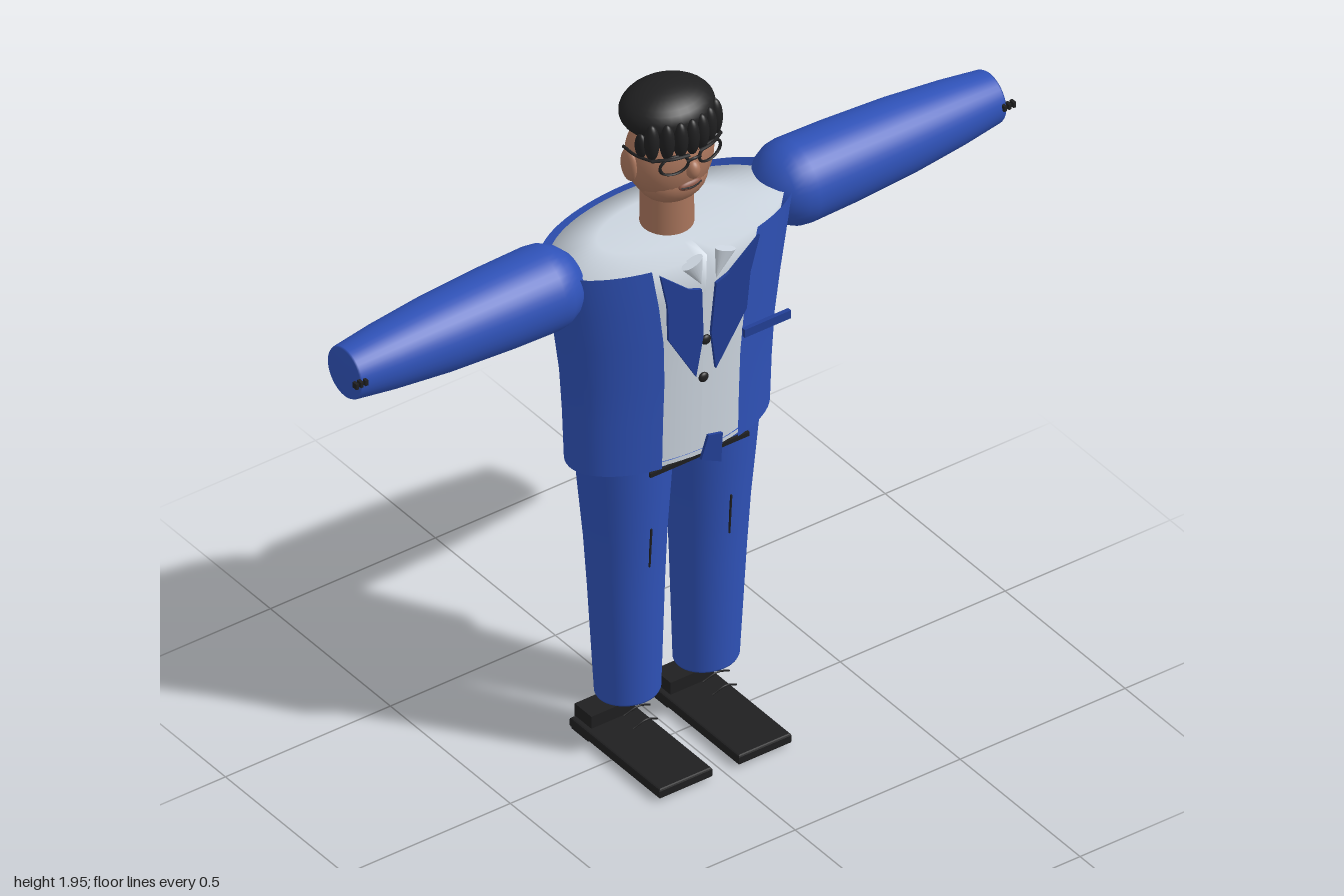
import * as THREE from 'three';

const mat = (name, color, side = THREE.FrontSide) => {
  const m = new THREE.MeshStandardMaterial({ color, side });
  m.name = name;
  return m;
};

export function createModel() {
  const root = new THREE.Group();
  root.name = 'manInSuit';
  const blue = mat('suitBlue', 0x2f52b8, THREE.DoubleSide);
  const darkBlue = mat('lapelBlue', 0x223f96, THREE.DoubleSide);
  const white = mat('shirtWhite', 0xcdd6e0, THREE.DoubleSide);
  const skin = mat('skin', 0xa9755c);
  const lip = mat('lip', 0x8a5646);
  const black = mat('black', 0x1f1f20);
  const Z = -0.035; // body axis

  const add = (name, geo, material, x = 0, y = 0, z = 0, parent = root) => {
    const m = new THREE.Mesh(geo, material);
    m.name = name;
    m.position.set(x, y, z);
    parent.add(m);
    return m;
  };
  const box = (w, h, d) => new THREE.BoxGeometry(w, h, d);
  const ball = (rx, ry, rz) => new THREE.SphereGeometry(1, 28, 18).scale(rx, ry, rz);
  const lathe = (pts) => new THREE.LatheGeometry(pts.map((p) => new THREE.Vector2(...p)), 40);
  const tube = (pts, r, n = 12) => new THREE.TubeGeometry(
    new THREE.CatmullRomCurve3(pts.map((p) => new THREE.Vector3(...p))), n, r, 6);
  const plate = (pts, depth = 0.008) => new THREE.ExtrudeGeometry(
    new THREE.Shape(pts.map((p) => new THREE.Vector2(...p))), { depth, bevelEnabled: false });

  // Elliptical shell from rows [y, rx, rz, half width of the front opening]
  const shell = (rows, n = 64) => {
    const pos = [], idx = [];
    rows.forEach(([y, rx, rz, open = 0], i) => {
      const t0 = Math.asin(open / rx);
      for (let j = 0; j <= n; j++) {
        const t = t0 + (2 * Math.PI - 2 * t0) * j / n;
        pos.push(rx * Math.sin(t), y, rz * Math.cos(t));
        if (i && j) {
          const d = i * (n + 1) + j, c = d - 1, b = d - n - 1, a = b - 1;
          idx.push(a, b, c, b, d, c);
        }
      }
    });
    const g = new THREE.BufferGeometry();
    g.setAttribute('position', new THREE.Float32BufferAttribute(pos, 3));
    g.setIndex(idx);
    g.computeVertexNormals();
    return g;
  };

  // Torso
  add('jacket', shell([
    [0.91, 0.293, 0.15, 0.115], [1.05, 0.298, 0.154, 0.115], [1.18, 0.306, 0.16, 0.115],
    [1.3, 0.322, 0.167, 0.122], [1.42, 0.342, 0.172, 0.138], [1.54, 0.365, 0.176, 0.16],
  ]), blue, 0, 0, Z);
  add('shirt', shell([
    [0.91, 0.262, 0.14], [1.18, 0.276, 0.15], [1.3, 0.29, 0.157], [1.42, 0.31, 0.163],
    [1.53, 0.335, 0.167], [1.538, 0.2, 0.1], [1.54, 0.01, 0.005],
  ]), white, 0, 0, Z);
  const waist = new THREE.CircleGeometry(1, 40).rotateX(Math.PI / 2).scale(0.28, 1, 0.142);
  add('waist', waist, blue, 0, 0.925, Z);
  add('belt', box(0.3, 0.012, 0.008), black, 0, 0.905, 0.1);
  add('shirtPlacket', box(0.004, 0.5, 0.004), black, 0, 1.17, 0.112).rotation.x = 0.035;
  add('backSeam', box(0.004, 0.34, 0.006), black, 0, 1.17, -0.194).rotation.x = -0.04;
  add('chestPocket', box(0.14, 0.024, 0.012), darkBlue, 0.19, 1.233, 0.119);
  for (const y of [1.27, 1.15]) add('shirtButton', ball(0.014, 0.014, 0.008), black, 0, y, y > 1.2 ? 0.128 : 0.118);
  add('frontTab', plate([[0.012, 0.97], [0.055, 0.96], [0.05, 0.875], [-0.01, 0.905]]), darkBlue, 0, 0, 0.115);

  // Neck and head
  add('neck', new THREE.CylinderGeometry(0.066, 0.068, 0.14, 32), skin, 0, 1.6, Z);
  const head = new THREE.Group();
  head.name = 'head';
  root.add(head);
  add('face', ball(0.118, 0.132, 0.097), skin, 0, 1.758, -0.025, head);
  add('jaw', ball(0.095, 0.07, 0.08), skin, 0, 1.695, -0.015, head);
  add('nose', ball(0.018, 0.026, 0.02), skin, 0, 1.755, 0.073, head);
  add('lips', ball(0.034, 0.014, 0.012), lip, 0, 1.703, 0.061, head);
  add('mouthLine', tube([[-0.03, 1.704, 0.067], [0, 1.702, 0.074], [0.03, 1.704, 0.067]], 0.0025), black, 0, 0, 0, head);
  add('hairCap', ball(0.126, 0.066, 0.107), black, 0, 1.885, -0.035, head);
  for (let i = -3; i <= 3; i++) {
    add('fringeLock', ball(0.019, 0.052, 0.02), black, i * 0.032, 1.852, 0.07 - 0.004 * i * i, head);
  }
  add('glassesBridge', tube([[-0.02, 1.79, 0.078], [0, 1.796, 0.084], [0.02, 1.79, 0.078]], 0.004), black, 0, 0, 0, head);

  for (const s of [1, -1]) {
    // Head sides
    add('ear', ball(0.014, 0.046, 0.03), skin, s * 0.117, 1.757, -0.032, head);
    add('sideLock', ball(0.014, 0.035, 0.018), black, s * 0.11, 1.835, 0.008, head);
    const rim = new THREE.TorusGeometry(0.035, 0.004, 6, 24).scale(1.1, 0.75, 1);
    add('glassesRim', rim, black, s * 0.054, 1.787, 0.07, head).rotation.y = s * 0.2;
    add('browBar', tube([[s * 0.015, 1.808, 0.08], [s * 0.06, 1.81, 0.073], [s * 0.105, 1.806, 0.045]], 0.005), black, 0, 0, 0, head);
    add('glassesTemple', tube([[s * 0.1, 1.805, 0.05], [s * 0.12, 1.805, 0], [s * 0.122, 1.805, -0.05]], 0.004), black, 0, 0, 0, head);

    // Collar and lapels
    const collar = add('collarPoint', new THREE.ConeGeometry(0.032, 0.085, 20).scale(1, 1, 0.5), white, s * 0.036, 1.493, 0.14);
    collar.rotation.z = Math.PI + s * -0.35;
    const lapel = plate([[s * 0.15, 1.535], [s * 0.125, 1.43], [s * 0.118, 1.32], [s * 0.03, 1.17],
      [s * 0.012, 1.29], [s * 0.022, 1.44], [s * 0.06, 1.455]].map(([x, y]) => [x, y - 1.35]));
    add('lapel', lapel, darkBlue, 0, 1.35, 0.13).rotation.x = 0.05;

    // Sleeve with rounded shoulder and closed cuff
    const sleeve = lathe([[0, 0.27], [0.035, 0.278], [0.07, 0.298], [0.095, 0.325], [0.109, 0.355], [0.113, 0.385],
      [0.11, 0.52], [0.101, 0.7], [0.086, 0.86], [0.071, 0.974], [0.068, 0.979], [0, 0.98]]);
    sleeve.rotateZ(-Math.PI / 2).rotateY(s > 0 ? 0 : Math.PI);
    add('sleeve', sleeve, blue, 0, 1.493, -0.034);
    for (let i = 0; i < 3; i++) {
      add('cuffButton', box(0.008, 0.016, 0.016), black, s * (0.996 - i * 0.014), 1.505, 0.038);
    }

    // Trousers
    const leg = lathe([[0, 0.165], [0.083, 0.166], [0.086, 0.172], [0.1, 0.5], [0.108, 0.65], [0.12, 0.8], [0.13, 0.93]]);
    // Lean the leg slightly so the top sits wider than the hem
    const p = leg.attributes.position;
    for (let i = 0; i < p.count; i++) {
      const k = (p.getY(i) - 0.165) / 0.765;
      p.setX(i, p.getX(i) + s * (0.119 + 0.012 * k));
      p.setZ(i, p.getZ(i) * 0.89);
    }
    add('trouserLeg', leg, blue, 0, 0, Z);
    add('trouserCrease', box(0.004, 0.12, 0.006), black, s * 0.121, 0.65, 0.062).rotation.x = 0.07;

    // Ankle creases
    for (const [y, z, w] of [[0.135, 0.005, 0.04], [0.115, 0.04, 0.036]]) {
      add('ankleCrease', tube([[-w, y - 0.012, z], [0, y + 0.004, z + 0.006], [w, y - 0.012, z]], 0.0025), black, s * 0.12);
    }

    // Shoe: flat sole with rounded corners, heel block
    const sole = new THREE.Shape();
    sole.moveTo(-0.075, -0.16).lineTo(0.075, -0.16).lineTo(0.075, 0.205).lineTo(-0.075, 0.205);
    const soleGeo = new THREE.ExtrudeGeometry(sole, { depth: 0.018, bevelThickness: 0.005, bevelSize: 0.005, bevelSegments: 2 });
    add('shoeSole', soleGeo.rotateX(Math.PI / 2), black, s * 0.12, 0.03, 0);
    add('shoeHeel', box(0.13, 0.068, 0.07), black, s * 0.12, 0.037, -0.13);
    add('heelBase', box(0.15, 0.03, 0.07), black, s * 0.12, 0.015, -0.13);
  }
  return root;
}
